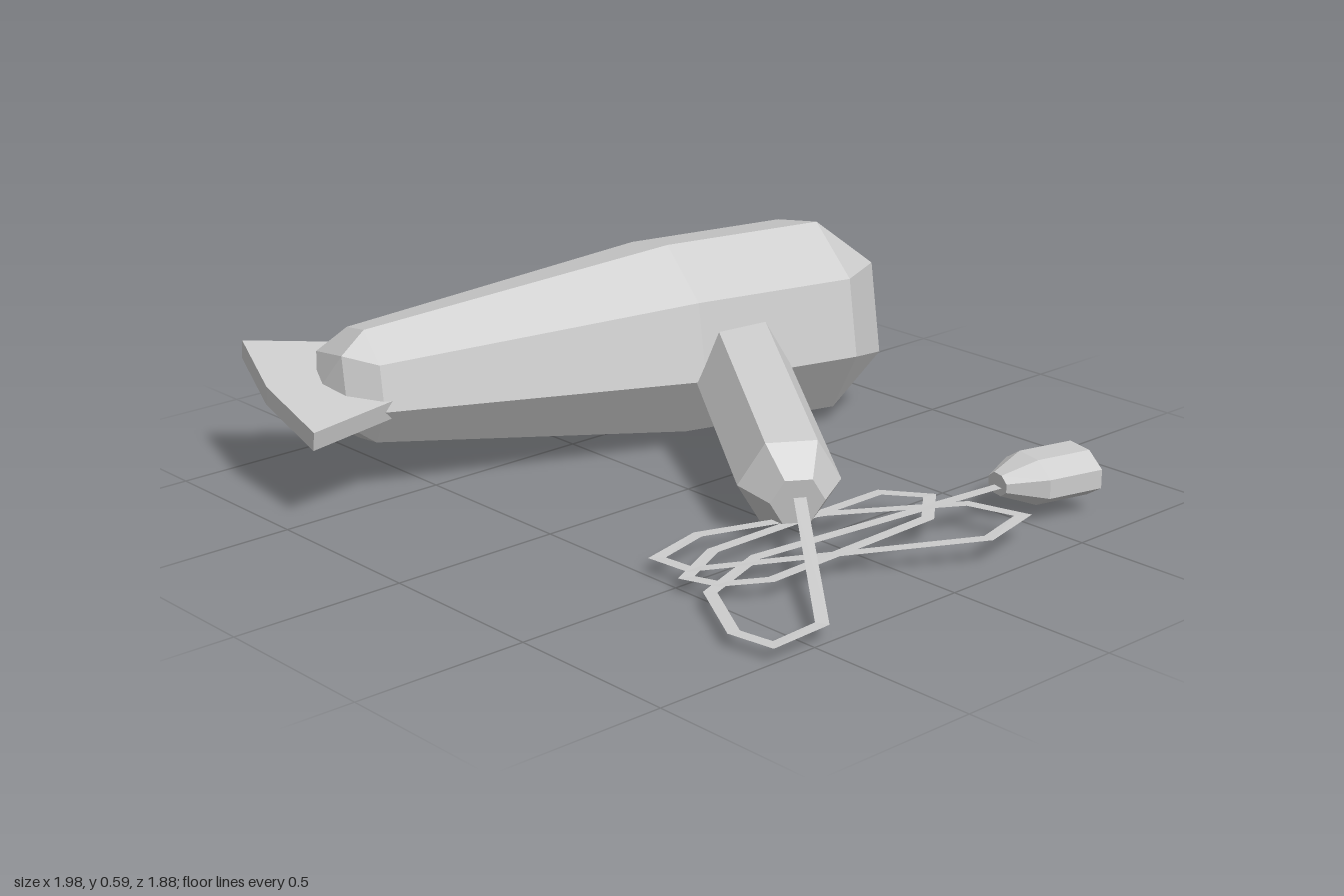
import * as THREE from 'three';

const grey = new THREE.MeshStandardMaterial({ color: 0xcccccc, flatShading: true });
const greyThin = new THREE.MeshStandardMaterial({ color: 0xcccccc, flatShading: true, side: THREE.DoubleSide });

// Ring of n corners [x, y, z] around local z; rx, ry are its radii
function ring(n, z, rx, ry = rx, turn = 0) {
  return Array.from({ length: n }, (_, k) => {
    const a = (k / n) * Math.PI * 2 + turn;
    return [rx * Math.cos(a), ry * Math.sin(a), z];
  });
}

// Eight points merged in pairs into a four-cornered ring, for the domed ends
function squareRing(z, r) {
  return Array.from({ length: 8 }, (_, k) => {
    const a = (Math.floor((k + 1) / 2) * 2 - 0.5) * Math.PI / 4;
    return [r * Math.cos(a), r * Math.sin(a), z];
  });
}

// Skin over rings with increasing z, skipping triangles that have collapsed
function loft(name, rings) {
  const pos = [];
  const same = (p, q) => p.every((v, i) => Math.abs(v - q[i]) < 1e-6);
  const tri = (a, b, c) => {
    if (!same(a, b) && !same(b, c) && !same(a, c)) pos.push(...a, ...b, ...c);
  };
  for (let i = 0; i < rings.length - 1; i++) {
    const n = rings[i].length;
    for (let k = 0; k < n; k++) {
      const m = (k + 1) % n;
      tri(rings[i][k], rings[i][m], rings[i + 1][m]);
      tri(rings[i][k], rings[i + 1][m], rings[i + 1][k]);
    }
  }
  const geo = new THREE.BufferGeometry();
  geo.setAttribute('position', new THREE.Float32BufferAttribute(pos, 3));
  geo.computeVertexNormals();
  const mesh = new THREE.Mesh(geo, grey);
  mesh.name = name;
  return mesh;
}

// Flat mitred ribbon through [x, z, y] points
function ribbon(name, points, width, closed = false) {
  const n = points.length;
  const P = points.map(([x, z]) => new THREE.Vector2(x, z));
  const height = (p) => p[2] ?? 0.064 - 0.04 * p[1];
  const pos = [], index = [];
  for (let i = 0; i < n; i++) {
    const before = closed || i > 0 ? P[i].clone().sub(P[(i + n - 1) % n]).normalize() : null;
    const after = closed || i < n - 1 ? P[(i + 1) % n].clone().sub(P[i]).normalize() : null;
    const a = before ?? after, b = after ?? before;
    const t = a.clone().add(b).normalize();
    const h = width / 2 / Math.max(0.5, t.dot(a));
    for (const s of [-1, 1]) pos.push(P[i].x - s * t.y * h, height(points[i]), P[i].y + s * t.x * h);
  }
  for (let i = 0; i < (closed ? n : n - 1); i++) {
    const a = 2 * i, b = 2 * ((i + 1) % n);
    index.push(a, a + 1, b, b, a + 1, b + 1);
  }
  const geo = new THREE.BufferGeometry();
  geo.setAttribute('position', new THREE.Float32BufferAttribute(pos, 3));
  geo.setIndex(index);
  geo.computeVertexNormals();
  const mesh = new THREE.Mesh(geo, greyThin);
  mesh.name = name;
  return mesh;
}

export function createModel() {
  const model = new THREE.Group();
  model.name = 'hairDryer';

  // Barrel and nozzle share one tilted axis
  const head = new THREE.Group();
  head.name = 'head';
  head.position.set(-0.48, 0.297, 0);
  head.rotation.set(0, -0.245, -0.19, 'YXZ');
  head.add(loft('barrel', [
    ring(8, -0.975, 0),
    squareRing(-0.933, 0.19),
    ring(8, -0.768, 0.3),
    ring(8, -0.27, 0.295),
    ring(8, 0.66, 0.17),
    squareRing(0.745, 0.14),
    ring(8, 0.79, 0),
  ]));

  // Flared flat nozzle
  const outline = new THREE.Shape(
    [[-0.18, 0.63], [0.18, 0.63], [0.278, 0.9], [0, 0.93], [-0.278, 0.9]]
      .map(([x, z]) => new THREE.Vector2(x, z)));
  const nozzleGeo = new THREE.ExtrudeGeometry(outline, { depth: 0.055, bevelEnabled: false });
  nozzleGeo.rotateX(Math.PI / 2).translate(-0.02, 0.028, 0);
  const nozzle = new THREE.Mesh(nozzleGeo, grey);
  nozzle.name = 'nozzle';
  head.add(nozzle);
  model.add(head);

  // Six-sided handle with a chamfered end
  const handle = loft('handle', [
    ring(6, -0.08, 0),
    ring(6, -0.08, 0.145),
    ring(6, 0.63, 0.142),
    ring(6, 0.735, 0.075),
    ring(6, 0.735, 0),
  ]);
  handle.position.set(-0.11, 0.247, -0.315);
  handle.rotation.set(0.165, 1.01, 0, 'YXZ');
  model.add(handle);

  // Loosely coiled flat cord
  const cord = new THREE.Group();
  cord.name = 'cord';
  const w = 0.034;
  cord.add(ribbon('cordRun', [
    [0.5, 0.06, 0.14], [0.98, 0.455], [0.98, 0.62], [0.86, 0.637],
    [0.65, 0.52], [0.575, 0.29], [0.74, -0.47, 0.1],
  ], w));
  cord.add(ribbon('cordInnerLoop', [
    [0.505, -0.24], [0.62, -0.315], [0.72, -0.2], [0.705, 0.36],
    [0.63, 0.47], [0.54, 0.5], [0.465, 0.34],
  ], w, true));
  cord.add(ribbon('cordOuterLoop', [
    [0.73, -0.345], [0.89, -0.385], [0.925, -0.21], [0.51, 0.46],
    [0.395, 0.47], [0.36, 0.295], [0.5, -0.03],
  ], w, true));
  model.add(cord);

  // Plug with a tapered collar
  const t = Math.PI / 8;
  const plug = loft('plug', [
    ring(8, -0.14, 0, 0, t),
    ring(8, -0.14, 0.112, 0.07, t),
    ring(8, 0.03, 0.112, 0.07, t),
    ring(8, 0.13, 0.045, 0.032, t),
    ring(8, 0.13, 0, 0, t),
  ]);
  plug.position.set(0.765, 0.105, -0.585);
  plug.rotation.y = -0.24;
  model.add(plug);

  return model;
}
